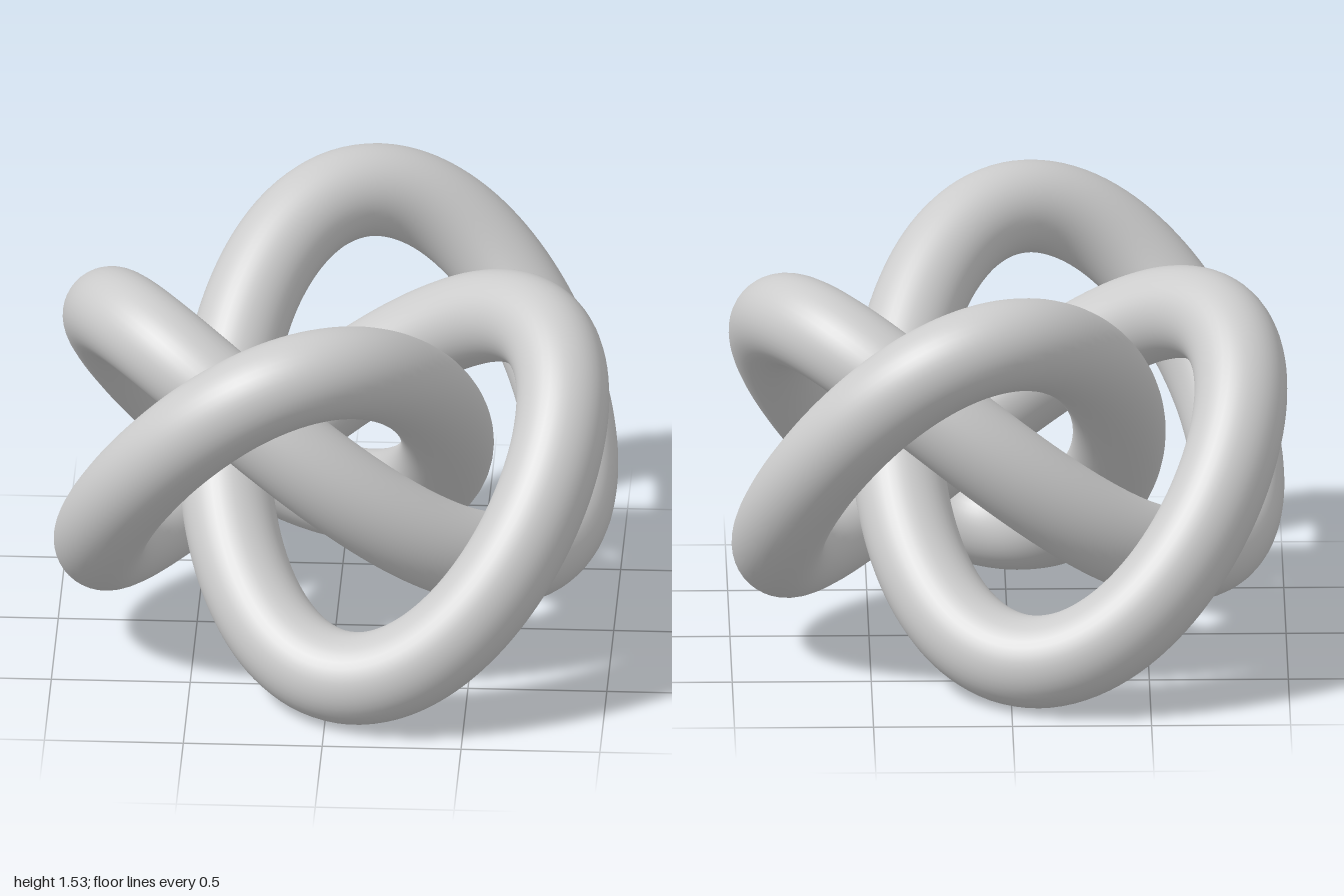
import * as THREE from 'three';

// Closed centreline: three turns, four lobes, weaving high to low in each quarter
class KnotCurve extends THREE.Curve {
  getPoint(u, target = new THREE.Vector3()) {
    const t = u * Math.PI * 2;
    const turn = 3 * t + Math.PI / 4;   // main turning
    const lobe = -t + Math.PI / 4;      // counter-turning that forms the lobes
    const P = 0.685, Q = 0.285;
    return target.set(
      P * Math.cos(turn) + Q * Math.cos(lobe),
      0.763 + 0.512 * Math.sin(4 * t) + 0.119 * Math.cos(2 * t),
      -P * Math.sin(turn) - Q * Math.sin(lobe)
    );
  }
}

export function createModel() {
  const group = new THREE.Group();
  group.name = 'knot';

  // Round tube swept along the knot
  const tube = new THREE.Mesh(
    new THREE.TubeGeometry(new KnotCurve(), 480, 0.167, 40, true),
    new THREE.MeshStandardMaterial({ color: 0xcccccc })
  );
  tube.name = 'knottedTube';
  group.add(tube);
  return group;
}
